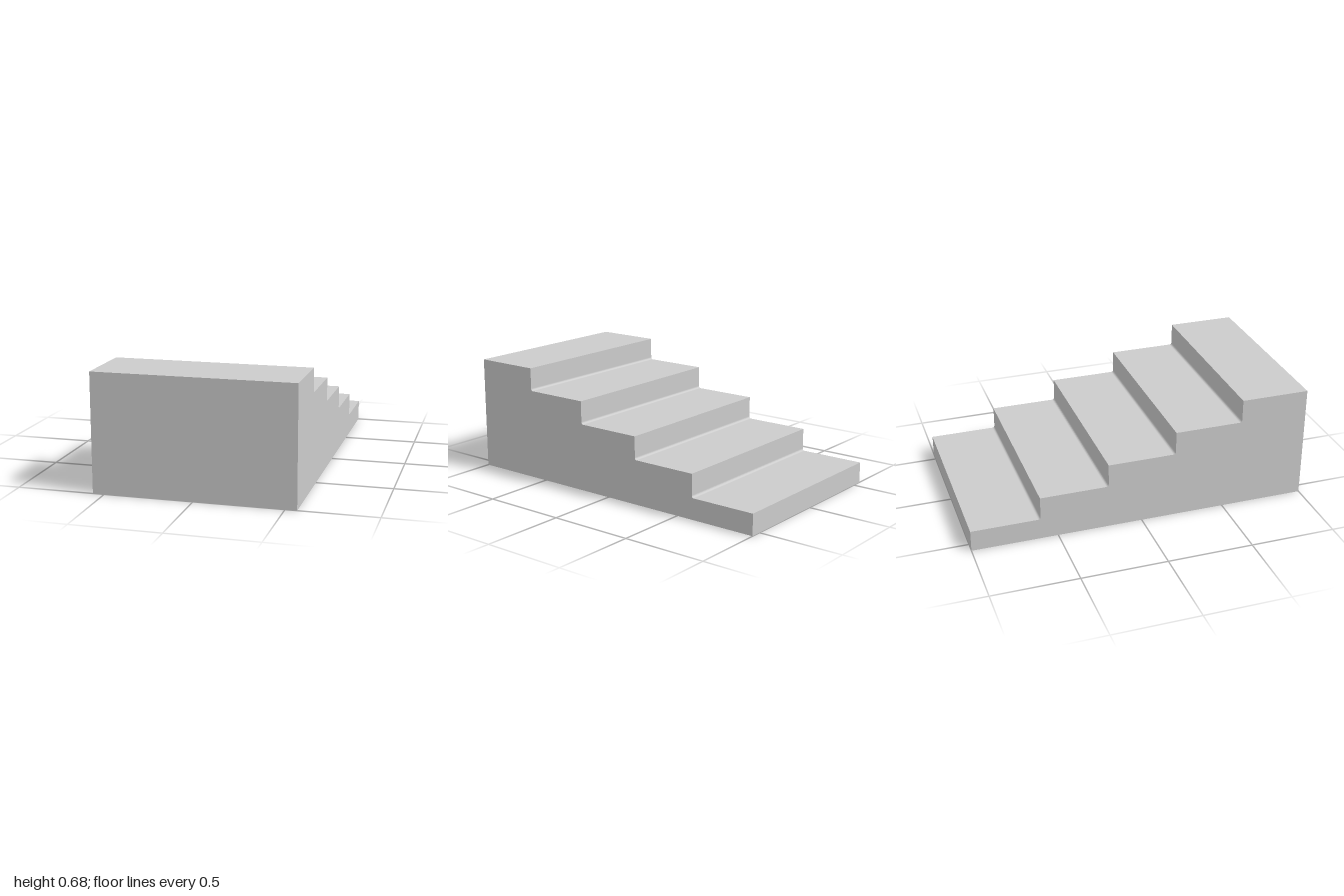
import * as THREE from 'three';

const WIDTH = 1.13;
const STEPS = 5;
const TREAD = 0.4;
const FIRST_RISE = 0.125;
const RISE = 0.1375;
const FILLET = 0.014;

// Side profile: shape x runs along z, from the lowest step (back) to the top step (front)
function stairProfile() {
  const shape = new THREE.Shape();
  shape.moveTo(-1, 0);
  for (let i = 0; i < STEPS; i++) {
    const y = FIRST_RISE + i * RISE;
    const start = -1 + i * TREAD;
    const end = start + TREAD;
    shape.lineTo(start, y);
    if (i < STEPS - 1) {
      // Small rounded inner corner where the tread meets the next riser
      shape.lineTo(end - FILLET, y);
      shape.absarc(end - FILLET, y + FILLET, FILLET, -Math.PI / 2, 0, false);
    } else {
      shape.lineTo(end, y);
    }
  }
  shape.lineTo(1, 0);
  shape.closePath();
  return shape;
}

export function createModel() {
  const group = new THREE.Group();
  group.name = 'staircase';

  // Solid flight of steps, extruded across the width
  const geometry = new THREE.ExtrudeGeometry(stairProfile(), {
    depth: WIDTH,
    bevelEnabled: false,
    curveSegments: 8,
  });
  geometry.translate(0, 0, -WIDTH / 2);
  geometry.rotateY(-Math.PI / 2);

  const steps = new THREE.Mesh(geometry, new THREE.MeshStandardMaterial({ color: 0xcccccc }));
  steps.name = 'steps';
  group.add(steps);
  return group;
}
